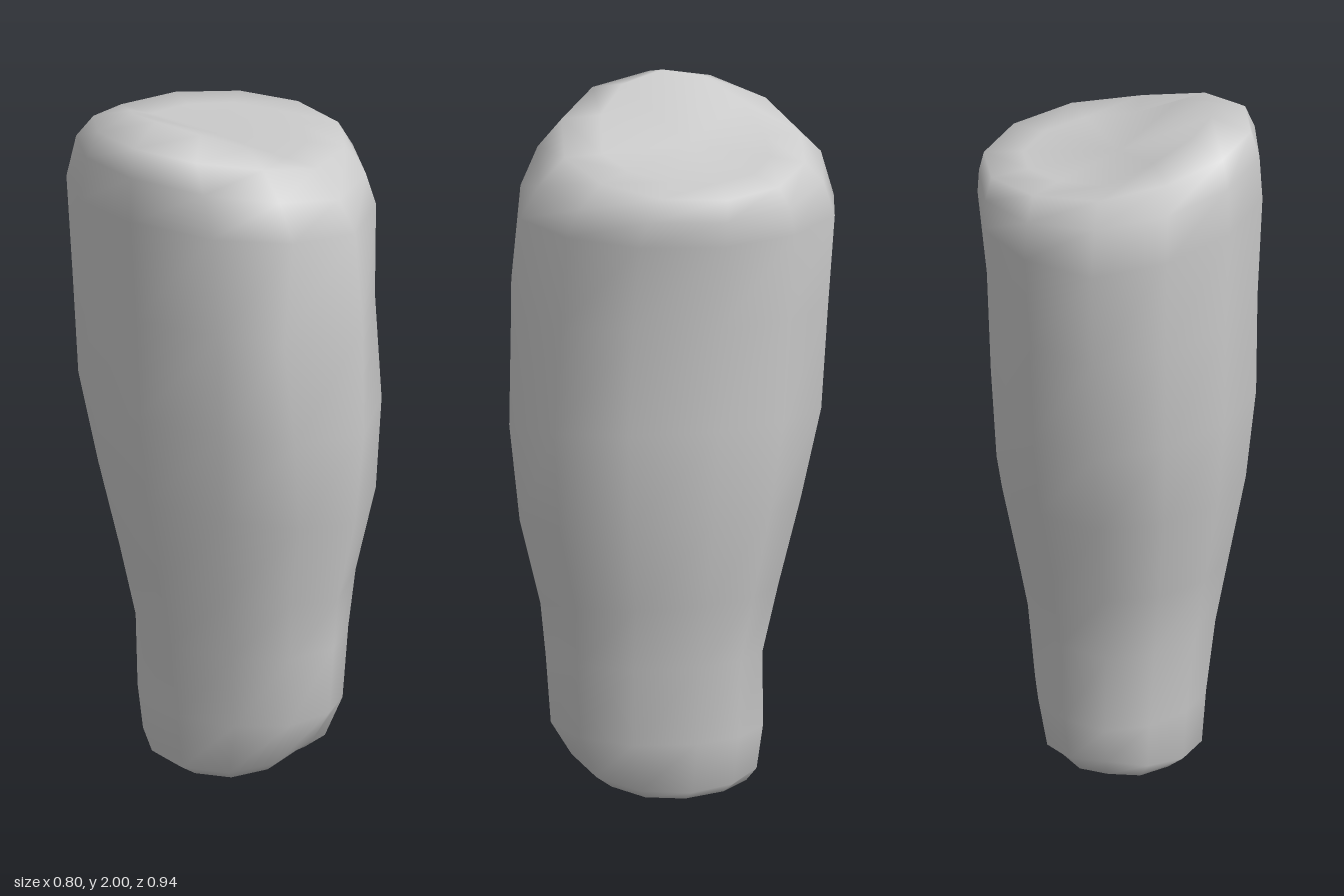
import * as THREE from 'three';

const SIDES = 12;

// Cross-sections, bottom to top: left x, right x, front z, back z,
// then the heights at the left (+x), right (-x), front and back.
const RINGS = [
  [0.1, -0.1, 0.13, -0.14, 0.025, 0.015, 0.05, 0.03],
  [0.17, -0.17, 0.23, -0.22, 0.018, 0.005, 0.07, 0.03],
  [0.218, -0.222, 0.29, -0.245, 0.05, 0.04, 0.12, 0.08],
  [0.245, -0.235, 0.35, -0.26, 0.2, 0.2, 0.22, 0.18],
  [0.265, -0.262, 0.365, -0.255, 0.43, 0.42, 0.42, 0.4],
  [0.3, -0.3, 0.38, -0.3, 0.62, 0.62, 0.57, 0.6],
  [0.35, -0.35, 0.44, -0.365, 0.88, 0.88, 0.82, 0.85],
  [0.365, -0.38, 0.47, -0.43, 1.15, 1.15, 1.1, 1.1],
  [0.375, -0.385, 0.465, -0.45, 1.45, 1.45, 1.42, 1.4],
  [0.4, -0.4, 0.44, -0.467, 1.7, 1.75, 1.7, 1.68],
  [0.395, -0.393, 0.385, -0.43, 1.77, 1.88, 1.79, 1.81],
  [0.38, -0.37, 0.31, -0.37, 1.83, 1.96, 1.865, 1.87],
  [0.27, -0.26, 0.2, -0.27, 1.845, 2.0, 1.865, 1.87],
];

// Small bump on the right front edge, and dent on the left front, by ring
const BUMP = { 7: 0.03, 8: 0.06 };
const DENT = { 7: 0.98, 8: 0.94, 9: 0.97 };

function ringPoint([xl, xr, zf, zb, yl, yr, yf, yb], ring, i) {
  const a = (i / SIDES) * Math.PI * 2;
  const c = Math.cos(a), s = Math.sin(a);
  const axisZ = 0.02 - 0.006 * ring;
  let x = c > 0 ? c * xl : -c * xr;
  let z = axisZ + (s > 0 ? s * (zf - axisZ) : -s * (zb - axisZ));
  // height runs straight from the front or back to the sides
  const y = THREE.MathUtils.lerp(s > 0 ? yf : yb, c > 0 ? yl : yr, Math.abs(c));
  if (i === 4 && BUMP[ring]) {
    x -= BUMP[ring];
    z -= BUMP[ring] * 0.2;
  }
  if ((i === 1 || i === 2) && DENT[ring]) {
    x *= DENT[ring];
    z *= DENT[ring];
  }
  return [x, y, z];
}

function limbGeometry() {
  const pos = [], index = [];
  RINGS.forEach((r, k) => {
    for (let i = 0; i < SIDES; i++) pos.push(...ringPoint(r, k, i));
  });
  const bottom = RINGS.length * SIDES, top = bottom + 1;
  pos.push(0, 0.03, 0, 0, 1.87, -0.05);

  const last = (RINGS.length - 1) * SIDES;
  for (let i = 0; i < SIDES; i++) {
    const j = (i + 1) % SIDES;
    // side walls
    for (let k = 0; k < last; k += SIDES) {
      index.push(k + i, k + SIDES + i, k + j);
      index.push(k + j, k + SIDES + i, k + SIDES + j);
    }
    // end caps
    index.push(bottom, i, j, top, last + j, last + i);
  }
  const geo = new THREE.BufferGeometry();
  geo.setAttribute('position', new THREE.Float32BufferAttribute(pos, 3));
  geo.setIndex(index);
  geo.computeVertexNormals();
  return geo;
}

export function createModel() {
  const group = new THREE.Group();
  const limb = new THREE.Mesh(limbGeometry(), new THREE.MeshStandardMaterial({ color: 0xcccccc }));
  limb.name = 'limbSegment';
  group.add(limb);
  return group;
}
